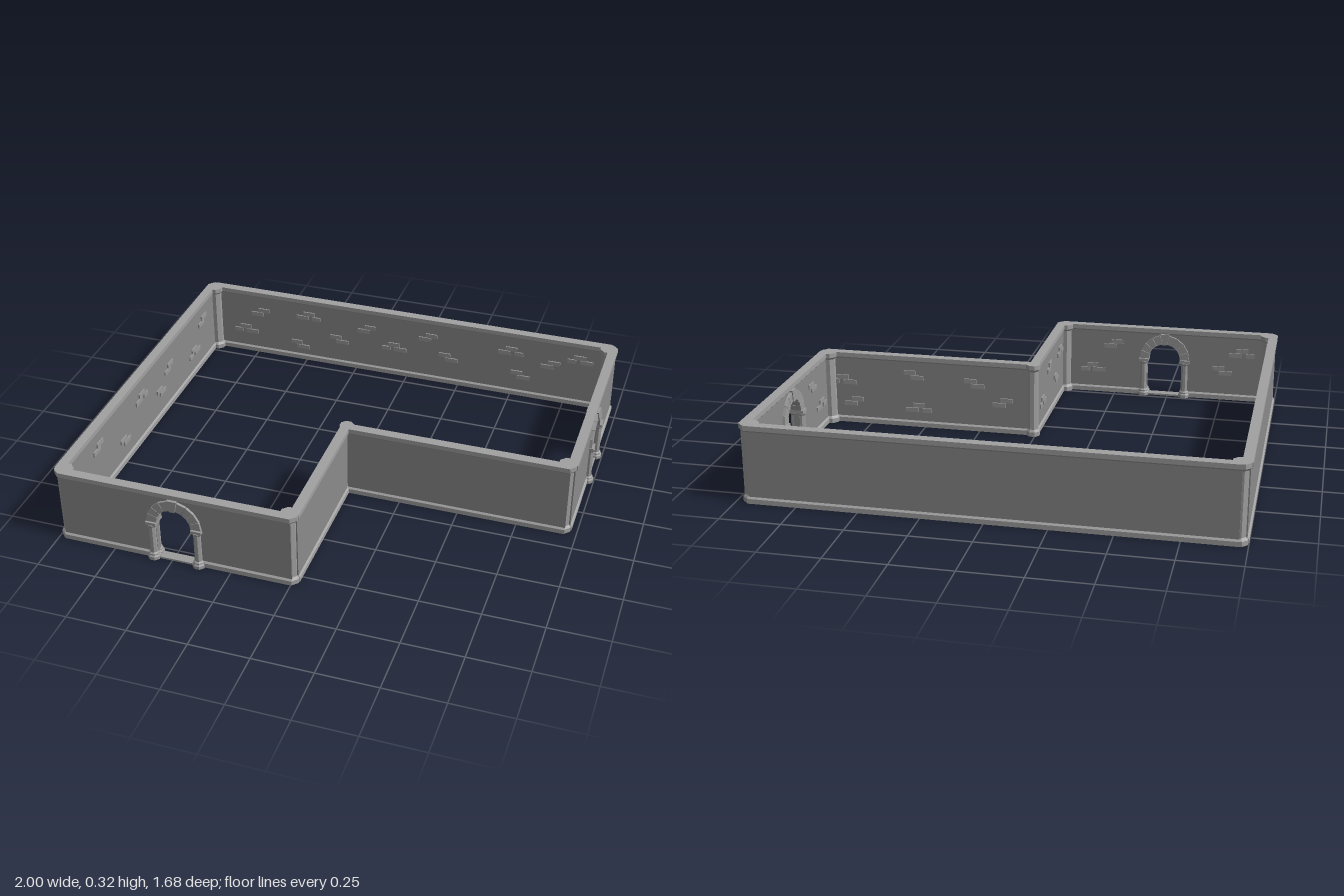
import * as THREE from 'three';

const H = 0.325;          // wall height
const TRIM = 0.027;       // height of skirting and coping
const HALF = 0.02;        // half depth of the trims
const PANEL = 0.013;      // half depth of the wall panel
const SPRING = 0.18;      // height where the door arch starts
const DOOR_R = 0.08;      // half width of the door opening
const COL_X = 0.096;      // column distance from door centre

const stone = (color) => new THREE.MeshStandardMaterial({ color, flatShading: true });
const wallStone = stone(0x8b8b8b);
const trimStone = stone(0xa2a2a2);
const doorStone = stone(0x9c9c9c);
const brickStone = stone(0x9a9a9a);

function add(parent, name, material, geometry, x = 0, y = 0, z = 0) {
  const mesh = new THREE.Mesh(geometry, material);
  mesh.name = name;
  mesh.position.set(x, y, z);
  parent.add(mesh);
}

function extrude(shape, depth, curveSegments = 12) {
  const g = new THREE.ExtrudeGeometry(shape, { depth, bevelEnabled: false, curveSegments });
  return g.translate(0, 0, -depth / 2);
}

// Chamfered strip running along x from x0 to x1; flipped for the coping
function addTrim(wall, name, x0, x1, top) {
  const pts = [[-HALF, 0], [HALF, 0], [HALF, 0.02], [PANEL, TRIM], [-PANEL, TRIM], [-HALF, 0.02]];
  const shape = new THREE.Shape(pts.map(([x, y]) => new THREE.Vector2(x, y)));
  const g = extrude(shape, x1 - x0).rotateY(Math.PI / 2);
  if (top) g.rotateX(Math.PI);
  add(wall, name, trimStone, g, (x0 + x1) / 2, top ? H : 0, 0);
}

// Paired slim columns, voussoir arch and sill
function addDoor(wall, cx) {
  const door = new THREE.Group();
  door.name = 'archedDoorway';
  door.position.x = cx;
  wall.add(door);

  const profile = [
    [0, 0], [0.027, 0], [0.027, 0.014], [0.022, 0.02], [0.022, 0.026], [0.016, 0.031],
    [0.0155, 0.155], [0.02, 0.161], [0.02, 0.168], [0, 0.168],
  ].map(([x, y]) => new THREE.Vector2(x, y));
  for (const sx of [-1, 1]) {
    for (const sz of [-1, 1]) {
      add(door, 'doorColumn', doorStone, new THREE.LatheGeometry(profile, 8, Math.PI / 8), sx * COL_X, 0, sz * 0.016);
    }
    add(door, 'columnCapital', doorStone, new THREE.BoxGeometry(0.044, 0.014, 0.064), sx * COL_X, SPRING - 0.007, 0);
  }

  const count = 9;
  const step = Math.PI / count;
  for (let i = 0; i < count; i++) {
    const key = i === (count - 1) / 2;
    const gap = 0.008;
    const a0 = i * step + gap, a1 = (i + 1) * step - gap;
    const r0 = key ? 0.07 : 0.073;
    const r1 = key ? 0.122 : 0.116;
    const block = new THREE.Shape();
    block.moveTo(r0 * Math.cos(a0), r0 * Math.sin(a0));
    block.lineTo(r1 * Math.cos(a0), r1 * Math.sin(a0));
    block.lineTo(r1 * Math.cos(a1), r1 * Math.sin(a1));
    block.lineTo(r0 * Math.cos(a1), r0 * Math.sin(a1));
    add(door, key ? 'keystone' : 'archBlock', doorStone, extrude(block, key ? 0.054 : 0.048), 0, SPRING, 0);
  }
  add(door, 'doorSill', doorStone, new THREE.BoxGeometry(2 * COL_X, 0.008, 2 * HALF), 0, 0.004, 0);
}

// Two or three staggered bricks standing proud of the inner face
function addBricks(wall, x, y, index) {
  const layout = [[0, 0, 0.055], [0.032, -0.022, 0.06], [-0.036, -0.022, 0.04]];
  const flip = index % 2 ? -1 : 1;
  layout.slice(0, index % 3 === 0 ? 3 : 2).forEach(([dx, dy, w]) => {
    add(wall, 'raisedBrick', brickStone, new THREE.BoxGeometry(w, 0.02, 0.012), x + flip * dx, y + dy, PANEL);
  });
}

// One wall in its own frame: runs along x, +z is the room side
function makeWall({ name, at, turn, length, door, bricks }) {
  const wall = new THREE.Group();
  wall.name = name;
  wall.position.set(at[0], 0, at[1]);
  wall.rotation.y = turn;
  const h = length / 2;

  // Panel outline, notched by the arched opening
  const s = new THREE.Shape();
  s.moveTo(-h, 0.004);
  if (door !== undefined) {
    s.lineTo(door - DOOR_R, 0.004);
    s.lineTo(door - DOOR_R, SPRING);
    s.absarc(door, SPRING, DOOR_R, Math.PI, 0, true);
    s.lineTo(door + DOOR_R, 0.004);
  }
  s.lineTo(h, 0.004);
  s.lineTo(h, H - 0.004);
  s.lineTo(-h, H - 0.004);
  add(wall, 'wallPanel', wallStone, extrude(s, 2 * PANEL, 16));

  addTrim(wall, 'coping', -h, h, true);
  if (door === undefined) {
    addTrim(wall, 'skirting', -h, h, false);
  } else {
    addTrim(wall, 'skirting', -h, door - DOOR_R, false);
    addTrim(wall, 'skirting', door + DOOR_R, h, false);
    addDoor(wall, door);
  }
  bricks.forEach(([u, y], i) => addBricks(wall, (u - 0.5) * length, y, i));
  return wall;
}

// Corner post with a wider foot and head
function addPost(parent, x, z, r) {
  const profile = [
    [0, 0], [r, 0], [r, 0.02], [r * 0.75, 0.03],
    [r * 0.75, H - 0.03], [r, H - 0.02], [r, H], [0, H],
  ].map(([a, b]) => new THREE.Vector2(a, b));
  add(parent, 'cornerPost', trimStone, new THREE.LatheGeometry(profile, 8, Math.PI / 8), x, 0, z);
}

export function createModel() {
  const model = new THREE.Group();
  model.name = 'walledRoom';
  const Q = Math.PI / 2;

  // Brick entries: fraction along the wall, height
  const walls = [
    { name: 'backWall', at: [-0.01, -0.82], turn: 0, length: 1.91,
      bricks: [[0.08, 0.13], [0.13, 0.23], [0.217, 0.09], [0.25, 0.25], [0.32, 0.15], [0.41, 0.23],
        [0.47, 0.16], [0.566, 0.24], [0.6, 0.15], [0.765, 0.24], [0.78, 0.12], [0.87, 0.2], [0.93, 0.25]] },
    { name: 'rightSideWall', at: [-0.98, -0.015], turn: Q, length: 1.59,
      bricks: [[0.08, 0.15], [0.2, 0.24], [0.33, 0.12], [0.46, 0.23], [0.57, 0.14], [0.65, 0.21],
        [0.82, 0.13], [0.9, 0.24]] },
    { name: 'frontWall', at: [-0.483, 0.795], turn: Math.PI, length: 0.974, door: -0.001,
      bricks: [[0.15, 0.13], [0.27, 0.25], [0.76, 0.15], [0.87, 0.24]] },
    { name: 'leftSideWall', at: [0.956, -0.338], turn: -Q, length: 0.946, door: 0.01,
      bricks: [[0.12, 0.23], [0.24, 0.12], [0.75, 0.24], [0.88, 0.13]] },
    { name: 'innerFrontWall', at: [0.48, 0.147], turn: Math.PI, length: 0.945,
      bricks: [[0.08, 0.21], [0.15, 0.11], [0.41, 0.25], [0.45, 0.1], [0.7, 0.23], [0.87, 0.15]] },
    { name: 'innerSideWall', at: [0.008, 0.455], turn: -Q, length: 0.65,
      bricks: [[0.2, 0.13], [0.45, 0.24], [0.64, 0.14], [0.82, 0.24]] },
  ];
  walls.forEach((w) => model.add(makeWall(w)));

  // Posts at the outward corners and the slimmer one at the inward corner
  [[-0.961, -0.801], [0.936, -0.801], [-0.961, 0.776], [-0.011, 0.776], [0.936, 0.128]]
    .forEach(([x, z]) => addPost(model, x, z, 0.039));
  addPost(model, 0.011, 0.139, 0.031);
  return model;
}
